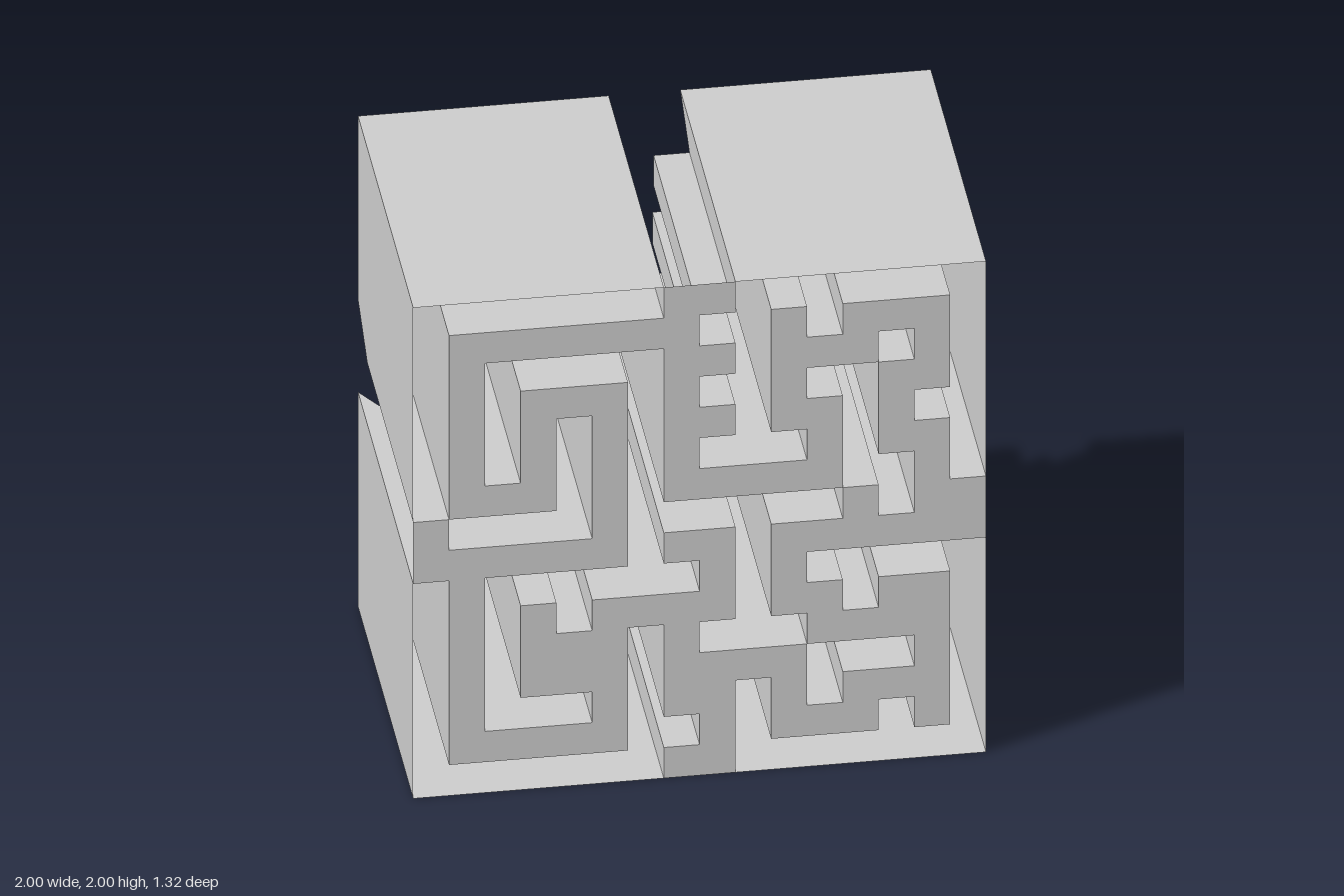
import * as THREE from 'three';

// Maze plan seen from the front, top row first: '#' is a channel, '.' a raised wall
const PLAN = [
  '#######..#######',
  '#.......##.#...#',
  '#.#####..#...#.#',
  '#.#...#.##.##..#',
  '#.#.#.#..#..#.##',
  '#.#.#.#.###.#..#',
  '#...#.#.....##.#',
  '.####.######.#..',
  '......#..#......',
  '#.######.#.#####',
  '#.#.#....#..#..#',
  '#.#...#.###....#',
  '#.#...#....###.#',
  '#.###.#..#.#...#',
  '#.....##.#...#.#',
  '#######..#######',
];
const N = 16, CELL = 2 / N, FRONT = 0.66;

const px = i => -1 + i * CELL;
const py = j => 2 - j * CELL;
const outside = (i, j) => i < 0 || j < 0 || i >= N || j >= N;
const isChannel = (i, j) => !outside(i, j) && PLAN[j][i] === '#';

// Depth of the channel floor at a grid corner
function floorZ(i, j) {
  const x = px(i), y = py(j), r = Math.max(Math.abs(x), Math.abs(y - 1));
  if (r > 0.99) return Math.abs(x) > 0.99 && j === 7 ? -0.39 : -0.6;
  if (r > 0.7) return -0.39;
  if (j === 8 || j === 9) {                            // long middle wall
    if (x < -0.2 || x > 0.55) return -0.39;
    return j === 8 ? -0.66 : -0.6;
  }
  if (Math.abs(x) < 0.13 && (y > 1.1 || y < 0.7)) return -0.42;
  if (x > 0.55 && y > 1.2) return -0.45;
  if (x > 0.2 && y > 1.1) return y < 1.64 ? -0.66 : -0.55;
  if (j === 7 && x < -0.3) return -0.53;
  return -0.61;
}

const front = (i, j) => [px(i), py(j), FRONT];
const back = (i, j) => [px(i), py(j), floorZ(i, j)];

// Mesh from separate four-cornered faces, flat shaded
function quadMesh(name, quads, material) {
  const pos = [];
  for (const [a, b, c, d] of quads) pos.push(...a, ...b, ...c, ...a, ...c, ...d);
  const geo = new THREE.BufferGeometry();
  geo.setAttribute('position', new THREE.Float32BufferAttribute(pos, 3));
  geo.computeVertexNormals();
  const mesh = new THREE.Mesh(geo, material);
  mesh.name = name;
  return mesh;
}

export function createModel() {
  const material = new THREE.MeshStandardMaterial({
    color: 0xcccccc, flatShading: true, side: THREE.DoubleSide,
  });
  const faces = [], floors = [], sides = [], shell = [];

  for (let j = 0; j < N; j++) for (let i = 0; i < N; i++) {
    const ring = [[i, j + 1], [i + 1, j + 1], [i + 1, j], [i, j]];
    if (!isChannel(i, j)) {                            // hollow wall: front skin only
      faces.push(ring.map(p => front(...p)));
      continue;
    }
    floors.push(ring.map(p => back(...p)));
    // Skirts along the channel: neighbours below, right, above, left
    [[0, 1], [1, 0], [0, -1], [-1, 0]].forEach(([dx, dy], k) => {
      const ni = i + dx, nj = j + dy;
      if (isChannel(ni, nj)) return;
      const a = ring[k], b = ring[(k + 1) % 4];
      if (outside(ni, nj)) shell.push([front(...a), back(...a), back(...b), front(...b)]);
      else sides.push([front(...a), front(...b), back(...b), back(...a)]);
    });
  }

  const group = new THREE.Group();
  group.name = 'mazeBlock';
  group.add(
    quadMesh('mazeFront', faces, material),
    quadMesh('channelFloors', floors, material),
    quadMesh('channelSides', sides, material),
    quadMesh('outerShell', shell, material),
  );
  return group;
}
